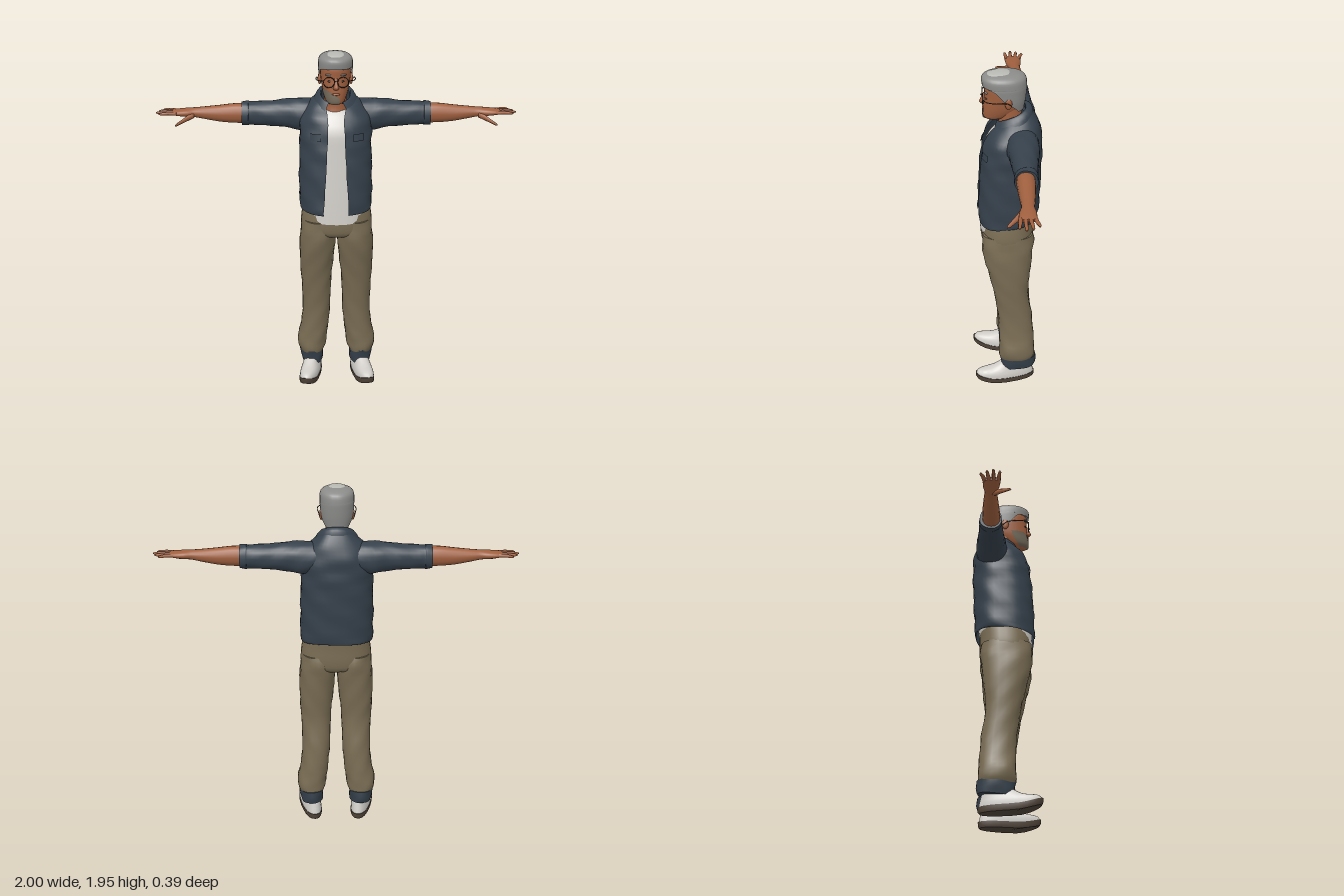
import * as THREE from 'three';

function mat(name, color, side = THREE.FrontSide) {
  const m = new THREE.MeshStandardMaterial({ color, side });
  m.name = name;
  return m;
}

// Spline through rows of numbers, sampled evenly
function smoothRows(rows, steps) {
  const out = [], last = rows.length - 1;
  for (let k = 0; k <= last * steps; k++) {
    const i = Math.min(Math.floor(k / steps), last - 1), f = k / steps - i;
    const a = rows[Math.max(0, i - 1)], b = rows[i], c = rows[i + 1], d = rows[Math.min(last, i + 2)];
    out.push(b.map((v, n) => 0.5 * (2 * v + (c[n] - a[n]) * f
      + (2 * a[n] - 5 * v + 4 * c[n] - d[n]) * f * f + (3 * v - a[n] - 3 * c[n] + d[n]) * f * f * f)));
  }
  return out;
}

// Skin over rising rings: [y, cx, cz, rx, rz, tilt, arcStart, arcEnd]; angle 0 faces +z.
// Without an arc the ring is closed and capped.
function loft(rows, { p = 2.2, wrinkle = 0, seg = 24, steps = 3 } = {}) {
  const open = rows[0].length > 6, pos = [], idx = [];
  const rings = smoothRows(rows, steps), n = open ? seg + 1 : seg;
  const bend = v => Math.sign(v) * Math.pow(Math.abs(v), 2 / p);
  for (const [y, cx, cz, rx, rz, tilt = 0, t0 = 0, t1 = Math.PI * 2] of rings) {
    for (let j = 0; j < n; j++) {
      const t = t0 + (t1 - t0) * j / seg;
      const w = 1 + wrinkle * (Math.sin(5 * t + 38 * y) + Math.sin(3 * t - 61 * y)) / 2;
      pos.push(cx + rx * w * bend(Math.sin(t)), y + tilt * Math.cos(t), cz + rz * w * bend(Math.cos(t)));
    }
  }
  for (let i = 0; i < rings.length - 1; i++) {
    for (let j = 0; j < seg; j++) {
      const a = i * n + j, b = i * n + (j + 1) % n;
      idx.push(a, b, a + n, b, b + n, a + n);
    }
  }
  if (!open) {
    for (const top of [false, true]) {
      const ring = top ? rings.length - 1 : 0, base = pos.length / 3;
      pos.push(...pos.slice(ring * n * 3, (ring + 1) * n * 3), rings[ring][1], rings[ring][0], rings[ring][2]);
      for (let j = 0; j < n; j++) {
        const a = base + j, b = base + (j + 1) % n;
        idx.push(top ? a : b, top ? b : a, base + n);
      }
    }
  }
  const g = new THREE.BufferGeometry();
  g.setAttribute('position', new THREE.Float32BufferAttribute(pos, 3));
  g.setIndex(idx);
  g.computeVertexNormals();
  return g;
}

// Rows along +x: [x, y, z, ry, rz]
function loftX(rows, opts) {
  return loft(rows.map(([x, y, z, ry, rz]) => [x, -y, z, ry, rz]), opts).rotateZ(-Math.PI / 2);
}

// Copy across x = 0 with the corner order turned back outward
function mirrored(geo) {
  const g = geo.clone().scale(-1, 1, 1), order = Array.from(geo.index.array);
  for (let i = 0; i < order.length; i += 3) {
    const first = order[i];
    order[i] = order[i + 1];
    order[i + 1] = first;
  }
  g.setIndex(order);
  return g;
}

const ball = (x, y, z, a, b, c) => new THREE.SphereGeometry(1, 12, 8).scale(a, b, c).translate(x, y, z);
const tube = (pts, r) => new THREE.TubeGeometry(
  new THREE.CatmullRomCurve3(pts.map(q => new THREE.Vector3(...q))), 10, r, 5);

export function createModel() {
  const model = new THREE.Group();
  model.name = 'man';
  const denim = mat('denim', 0x36414c, THREE.DoubleSide), khaki = mat('khaki', 0x796c53);
  const skin = mat('skin', 0xa0603f), white = mat('white', 0xd2cfca);
  const hair = mat('hair', 0x8c8c8b, THREE.DoubleSide), crown = mat('crown', 0xb9b9b4);
  const sole = mat('sole', 0x51453a), frame = mat('frame', 0x2a2320);
  const beard = mat('beard', 0x746a5a, THREE.DoubleSide);

  const add = (name, geo, m, parent = model) => {
    const mesh = new THREE.Mesh(geo, m);
    mesh.name = name;
    parent.add(mesh);
  };
  const pair = (name, geo, m, left = model, right = left) => {
    add(name + 'Left', geo, m, left);
    add(name + 'Right', mirrored(geo), m, right);
  };

  // Shirt and open jacket
  add('shirt', loft([
    [1.03, 0, 0, 0.18, 0.15, -0.035], [1.15, 0, -0.01, 0.185, 0.153, -0.01], [1.4, 0, -0.025, 0.18, 0.152, 0],
    [1.52, 0, -0.03, 0.175, 0.145, 0], [1.6, 0, -0.045, 0.13, 0.11, 0], [1.625, 0, -0.045, 0.085, 0.085, 0],
  ], { p: 2.4, seg: 32 }), white);
  const jacketRow = (y, cz, rx, rz, tilt, gap) => [y, -0.004, cz, rx, rz, tilt, gap, Math.PI * 2 - gap];
  add('jacket', loft([
    jacketRow(1.07, -0.005, 0.198, 0.165, -0.02, 0.27), jacketRow(1.1, -0.008, 0.203, 0.171, -0.01, 0.26),
    jacketRow(1.25, -0.015, 0.204, 0.172, 0, 0.21), jacketRow(1.4, -0.023, 0.2, 0.17, 0, 0.18),
    jacketRow(1.5, -0.03, 0.2, 0.165, 0, 0.16), jacketRow(1.58, -0.04, 0.19, 0.153, 0, 0.16),
    jacketRow(1.64, -0.05, 0.155, 0.125, -0.01, 0.25), jacketRow(1.685, -0.04, 0.105, 0.1, -0.035, 0.45),
  ], { p: 2.5, wrinkle: 0.025, seg: 40, steps: 4 }), denim);
  add('collar', loft([
    jacketRow(1.665, -0.032, 0.122, 0.115, -0.045, 0.5), jacketRow(1.69, -0.032, 0.108, 0.106, -0.048, 0.46),
    jacketRow(1.712, -0.028, 0.086, 0.088, -0.04, 0.4), jacketRow(1.7, -0.025, 0.078, 0.08, -0.04, 0.4),
  ]), denim);
  // Chest pocket flaps
  pair('pocketFlap', loft([
    [1.475, 0, -0.026, 0.204, 0.174, 0, 0.36, 0.72], [1.515, 0, -0.03, 0.204, 0.171, 0, 0.36, 0.72],
  ], { p: 2.5, seg: 6, steps: 1 }), denim);

  // Arms, swung slightly about the spine
  const arms = ['leftArm', 'rightArm'].map(name => {
    const g = new THREE.Group();
    g.name = name;
    g.rotation.y = -0.02;
    model.add(g);
    return g;
  });
  pair('sleeve', loftX([
    [0.1, 1.575, -0.085, 0.085, 0.085], [0.19, 1.572, -0.085, 0.09, 0.088], [0.26, 1.578, -0.085, 0.081, 0.08],
    [0.36, 1.578, -0.085, 0.07, 0.07], [0.45, 1.578, -0.085, 0.066, 0.062], [0.485, 1.578, -0.085, 0.064, 0.06],
    [0.49, 1.578, -0.085, 0.068, 0.064], [0.525, 1.578, -0.083, 0.065, 0.061],
  ], { wrinkle: 0.03 }), denim, ...arms);
  pair('forearm', loftX([
    [0.48, 1.58, -0.08, 0.054, 0.05], [0.56, 1.58, -0.08, 0.055, 0.049], [0.65, 1.579, -0.08, 0.046, 0.044],
    [0.74, 1.583, -0.079, 0.033, 0.037], [0.79, 1.586, -0.077, 0.026, 0.034], [0.83, 1.586, -0.075, 0.023, 0.043],
    [0.88, 1.587, -0.072, 0.017, 0.047], [0.91, 1.588, -0.072, 0.01, 0.043],
  ], { seg: 16 }), skin, ...arms);
  // Fingers fan out, thumb drops forward
  [0.965, 0.988, 1.0, 0.982].forEach((tip, i) => {
    const z = -0.108 + i * 0.024, zTip = -0.127 + i * 0.033;
    pair('finger' + (i + 1), loftX([
      [0.885, 1.588, z, 0.011, 0.012], [0.93, 1.59, (z + zTip) / 2, 0.0095, 0.0105],
      [tip - 0.012, 1.588, zTip, 0.0075, 0.008], [tip, 1.587, zTip, 0.004, 0.004],
    ], { seg: 8, steps: 1 }), skin, ...arms);
  });
  pair('thumb', loftX([
    [0.79, 1.575, -0.06, 0.018, 0.02], [0.825, 1.562, -0.035, 0.016, 0.018],
    [0.855, 1.55, -0.005, 0.011, 0.014], [0.88, 1.54, 0.02, 0.008, 0.01], [0.888, 1.537, 0.028, 0.004, 0.004],
  ], { seg: 8, steps: 1 }), skin, ...arms);

  // Trousers
  add('trouserSeat', loft([
    [0.91, 0, -0.002, 0.15, 0.12], [0.93, 0, -0.002, 0.19, 0.143], [0.98, 0, -0.003, 0.2, 0.15],
    [1.04, 0, -0.005, 0.194, 0.148], [1.09, 0, -0.01, 0.185, 0.145],
  ], { p: 2.4, seg: 32 }), khaki);
  pair('trouserLeg', loft([
    [0.16, 0.142, -0.055, 0.066, 0.1], [0.19, 0.142, -0.053, 0.08, 0.103], [0.24, 0.14, -0.052, 0.084, 0.102],
    [0.32, 0.125, -0.05, 0.08, 0.1], [0.45, 0.115, -0.042, 0.08, 0.098], [0.6, 0.115, -0.02, 0.085, 0.098],
    [0.72, 0.113, -0.012, 0.094, 0.115], [0.85, 0.107, -0.002, 0.102, 0.137],
    [0.94, 0.101, -0.003, 0.101, 0.146], [1.0, 0.1, -0.003, 0.095, 0.14],
  ], { wrinkle: 0.03, p: 2.3 }), khaki);
  pair('trouserCuff', loft([
    [0.095, 0.14, -0.06, 0.06, 0.098, -0.01], [0.13, 0.142, -0.06, 0.066, 0.102, -0.005],
    [0.175, 0.142, -0.058, 0.07, 0.106, 0],
  ], { wrinkle: 0.04 }), denim);

  // Shoes with raised toes, turned outward
  const placeShoe = g => {
    const a = g.attributes.position;
    for (let i = 0; i < a.count; i++) {
      const f = Math.max(0, (a.getZ(i) - 0.03) / 0.16);
      a.setY(i, a.getY(i) + 0.035 * f * f);
    }
    g.computeVertexNormals();
    return g.rotateY(0.18).translate(0.148, 0, 0);
  };
  pair('shoeSole', placeShoe(loft([
    [0, 0, 0.018, 0.05, 0.168], [0.012, 0, 0.018, 0.056, 0.176], [0.034, 0, 0.018, 0.056, 0.177],
  ], { p: 2.4, steps: 1 })), sole);
  pair('shoeUpper', placeShoe(loft([
    [0.032, 0, 0.018, 0.054, 0.173], [0.055, 0, 0.014, 0.054, 0.164], [0.075, 0, 0, 0.05, 0.145],
    [0.095, 0, -0.025, 0.045, 0.115], [0.125, 0, -0.045, 0.04, 0.085],
  ], { p: 2.4, steps: 2 })), white);

  // Head
  const head = new THREE.Group();
  head.name = 'head';
  head.position.x = -0.005;
  model.add(head);
  add('neck', loft([
    [1.56, 0, -0.03, 0.09, 0.095], [1.63, 0, -0.025, 0.065, 0.07], [1.69, 0, -0.02, 0.062, 0.065],
    [1.76, 0, -0.015, 0.062, 0.065],
  ]), skin, head);
  add('face', loft([
    [1.672, 0, 0.07, 0.022, 0.03], [1.685, 0, 0.06, 0.045, 0.062], [1.71, 0, 0.04, 0.059, 0.086],
    [1.745, 0, 0.022, 0.071, 0.103], [1.785, 0, 0.015, 0.078, 0.106], [1.825, 0, 0.01, 0.083, 0.108],
    [1.87, 0, 0.01, 0.084, 0.11], [1.915, 0, 0.01, 0.07, 0.095],
  ]), skin, head);
  add('beard', loft([
    [1.676, 0, 0.068, 0.034, 0.046, 0, -1.5, 0.3], [1.685, 0, 0.06, 0.05, 0.068, 0, -1.5, 0.35],
    [1.71, 0, 0.04, 0.063, 0.09, 0, -1.5, 0.3], [1.735, 0, 0.026, 0.071, 0.102, 0, -1.5, -0.1],
    [1.76, 0, 0.019, 0.077, 0.107, 0, -1.5, -0.75],
  ], { seg: 12, steps: 2 }), beard, head);
  add('nose', loft([
    [1.762, 0, 0.118, 0.013, 0.012], [1.772, 0, 0.124, 0.017, 0.021], [1.79, 0, 0.121, 0.011, 0.018],
    [1.825, 0, 0.113, 0.008, 0.01],
  ], { seg: 10, steps: 2 }), skin, head);
  add('lips', ball(0, 1.737, 0.123, 0.022, 0.007, 0.008), skin, head);
  pair('ear', ball(0.086, 1.795, -0.008, 0.011, 0.033, 0.02), skin, head);
  pair('eye', ball(0.033, 1.806, 0.107, 0.012, 0.006, 0.006), frame, head);
  pair('eyebrow', ball(0.036, 1.843, 0.108, 0.024, 0.005, 0.009), hair, head);

  // Short hair, open around the face, with a pale crown
  const hairRow = (y, cz, rx, rz, gap) => [y, 0, cz, rx, rz, 0, gap, Math.PI * 2 - gap];
  add('hair', loft([
    hairRow(1.735, -0.025, 0.068, 0.07, 2.1), hairRow(1.765, -0.01, 0.081, 0.09, 1.85),
    hairRow(1.8, 0, 0.09, 0.106, 1.5), hairRow(1.85, 0.006, 0.094, 0.117, 1.2),
    hairRow(1.868, 0.008, 0.095, 0.12, 0.9), hairRow(1.875, 0.009, 0.095, 0.121, 0),
  ], { steps: 2 }), hair, head);
  add('hairTop', loft([
    [1.874, 0, 0.009, 0.095, 0.121], [1.91, 0, 0.013, 0.093, 0.121], [1.93, 0, 0.014, 0.078, 0.104],
    [1.94, 0, 0.012, 0.05, 0.066], [1.943, 0, 0.012, 0.02, 0.03],
  ]), hair, head);
  add('crownPatch', loft([
    [1.935, 0, 0.035, 0.05, 0.068], [1.942, 0, 0.033, 0.042, 0.058], [1.946, 0, 0.03, 0.015, 0.02],
  ], { steps: 2 }), crown, head);

  // Glasses
  pair('glassesRim', new THREE.TorusGeometry(0.029, 0.0025, 5, 20).translate(0.038, 1.805, 0.128), frame, head);
  add('glassesBridge', tube([[-0.01, 1.81, 0.129], [0, 1.814, 0.137], [0.01, 1.81, 0.129]], 0.0025), frame, head);
  pair('glassesTemple', tube([
    [0.066, 1.812, 0.126], [0.095, 1.812, 0.11], [0.107, 1.808, 0.06], [0.101, 1.804, 0], [0.095, 1.785, -0.025],
  ], 0.0025), frame, head);

  return model;
}
